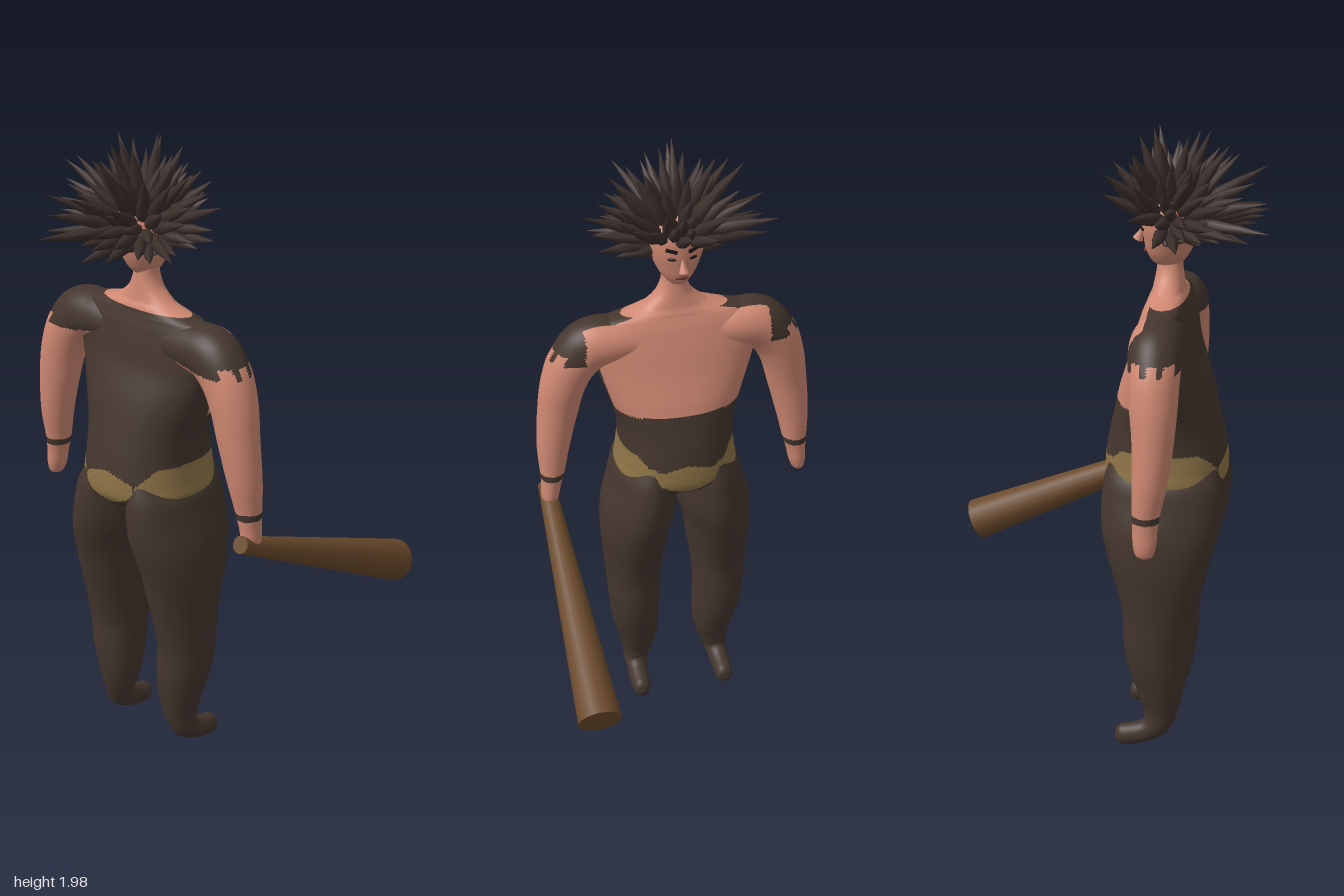
import * as THREE from 'three';
import { mergeGeometries } from 'three/addons/utils/BufferGeometryUtils.js';

const mat = (name, color) => new THREE.MeshStandardMaterial({ name, color });
const CX = -0.02; // body centre line
const X = new THREE.Vector3(1, 0, 0);
const Z = new THREE.Vector3(0, 0, 1);

// Smooth loft through sections [x, y, z, radius along u, radius across]; power > 2 squares the section
function loft(sections, u, rings, sides, power = 2) {
  const path = new THREE.CatmullRomCurve3(sections.map(s => new THREE.Vector3(s[0], s[1], s[2])));
  const size = new THREE.CatmullRomCurve3(sections.map(s => new THREE.Vector3(s[3], s[4], s[1])));
  const pos = [], index = [];
  const bend = c => Math.sign(c) * Math.pow(Math.abs(c), 2 / power);
  for (let i = 0; i <= rings; i++) {
    const p = path.getPoint(i / rings), r = size.getPoint(i / rings);
    const v = path.getTangent(i / rings).cross(u).normalize();
    for (let j = 0; j < sides; j++) {
      const t = (j / sides) * Math.PI * 2;
      const q = p.clone()
        .addScaledVector(u, bend(Math.cos(t)) * Math.max(r.x, 0.0005))
        .addScaledVector(v, bend(Math.sin(t)) * Math.max(r.y, 0.0005));
      pos.push(q.x, q.y, q.z);
      if (i < rings) {
        const k = (j + 1) % sides, a = i * sides, b = a + sides;
        index.push(a + j, a + k, b + k, a + j, b + k, b + j);
      }
    }
  }
  const g = new THREE.BufferGeometry();
  g.setAttribute('position', new THREE.Float32BufferAttribute(pos, 3));
  g.setIndex(index);
  g.computeVertexNormals();
  return g;
}

// Sort faces into material groups by a rule on the face centre
function paint(g, count, rule) {
  const idx = g.index.array, p = g.attributes.position;
  const lists = Array.from({ length: count }, () => []);
  for (let i = 0; i < idx.length; i += 3) {
    const f = [idx[i], idx[i + 1], idx[i + 2]];
    const mid = get => f.reduce((s, n) => s + get(n), 0) / 3;
    lists[rule(mid(n => p.getX(n)), mid(n => p.getY(n)), mid(n => p.getZ(n)))].push(...f);
  }
  g.setIndex(lists.flat());
  let start = 0;
  lists.forEach((l, m) => { g.addGroup(start, l.length, m); start += l.length; });
  return g;
}

export function createModel() {
  const group = new THREE.Group();
  const skin = mat('skin', 0xcf8872);
  const cloth = mat('dark cloth', 0x44362e);
  const tan = mat('belt tan', 0x8d7346);
  const hairMat = mat('hair', 0x3b2e2a);
  const wood = mat('wood', 0x6b4a2b);
  const lip = mat('lip', 0x6e3a34);
  const ink = mat('brow and lash', 0x1c1614);
  const bodyMats = [skin, cloth, tan];
  const add = (name, geometry, material) => {
    const m = new THREE.Mesh(geometry, material);
    m.name = name;
    group.add(m);
    return m;
  };

  // Torso: height, half width, front z, back z
  const torsoRows = [
    [0.85, 0.04, 0.15, 0.30], [0.87, 0.15, 0.075, 0.375], [0.91, 0.193, 0.039, 0.411],
    [0.96, 0.188, 0.037, 0.413], [1.03, 0.182, 0.046, 0.402], [1.10, 0.188, 0.06, 0.385],
    [1.20, 0.218, 0.082, 0.358], [1.30, 0.25, 0.113, 0.322], [1.38, 0.27, 0.135, 0.305],
    [1.43, 0.26, 0.15, 0.294], [1.46, 0.225, 0.162, 0.285], [1.478, 0.15, 0.168, 0.28],
    [1.495, 0.10, 0.175, 0.273], [1.53, 0.058, 0.182, 0.268], [1.565, 0.041, 0.187, 0.264],
    [1.61, 0.036, 0.19, 0.262],
  ];
  const torso = loft(torsoRows.map(([y, w, f, b]) => [CX, y, (f + b) / 2, w, (b - f) / 2]), X, 180, 120, 2.25);
  paint(torso, 3, (x, y, z) => {
    const d = Math.abs(x - CX), inner = d < 0.095;
    // belt pinched on each side of the centre, only partly so on the bare-chested side
    const pinch = inner ? Math.sqrt(1 - d / 0.095) : Math.min(1, (d - 0.095) / 0.055);
    const k = z < 0.2 ? Math.max(0.45, pinch) : pinch;
    const top = 0.955 + (inner ? 0.04 : 0.062) * k, low = 0.945 - (inner ? 0.058 : 0.042) * k;
    if (y < top && y > low) return pinch < 0.06 && z > 0.2 ? 1 : 2;
    if (y < 1.16) return 1;
    if (y > 1.474) return 0;
    return z < 0.185 ? 0 : 1;
  });
  add('torso', torso, bodyMats);

  for (const s of [1, -1]) {
    const side = s > 0 ? 'left' : 'right';

    // Arm with ragged sleeve and wristband
    const armRows = [
      [0.12, 1.39, 0.222, 0.075, 0.065], [0.20, 1.39, 0.222, 0.08, 0.076], [0.265, 1.38, 0.224, 0.08, 0.082],
      [0.318, 1.325, 0.228, 0.076, 0.078], [0.35, 1.25, 0.232, 0.071, 0.071], [0.371, 1.15, 0.235, 0.062, 0.064],
      [0.392, 1.02, 0.23, 0.052, 0.052], [0.40, 0.93, 0.222, 0.042, 0.04], [0.406, 0.88, 0.22, 0.037, 0.032],
      [0.412, 0.83, 0.22, 0.034, 0.027], [0.416, 0.80, 0.22, 0.024, 0.018], [0.417, 0.788, 0.22, 0, 0],
    ].map(([x, ...r]) => [CX + s * x, ...r]);
    const arm = paint(loft(armRows, Z, 140, 56), 2, (x, y, z) => {
      if (y > 0.905 && y < 0.927) return 1;
      const hem = 1.365 + (Math.sin(z * 130) > 0.3 ? -0.02 : 0.01);
      return y > hem && (z > 0.19 || Math.abs(x - CX) > 0.29) ? 1 : 0;
    });
    add(side + 'Arm', arm, [skin, cloth]);

    // Leg running into a foot bent forward
    const legRows = [
      [0.095, 0.96, 0.225, 0.07, 0.165], [0.102, 0.91, 0.225, 0.096, 0.18], [0.109, 0.85, 0.225, 0.107, 0.186],
      [0.123, 0.76, 0.222, 0.118, 0.182],
      [0.138, 0.67, 0.222, 0.11, 0.16], [0.142, 0.58, 0.224, 0.101, 0.136], [0.145, 0.48, 0.222, 0.09, 0.112],
      [0.145, 0.38, 0.216, 0.084, 0.1], [0.14, 0.29, 0.224, 0.079, 0.092], [0.132, 0.20, 0.232, 0.067, 0.073],
      [0.133, 0.13, 0.233, 0.05, 0.054], [0.14, 0.085, 0.222, 0.04, 0.044], [0.143, 0.06, 0.192, 0.034, 0.037],
      [0.145, 0.045, 0.15, 0.032, 0.036], [0.145, 0.037, 0.112, 0.03, 0.035], [0.145, 0.035, 0.094, 0.02, 0.022],
      [0.145, 0.035, 0.088, 0, 0],
    ].map(([x, ...r]) => [CX + s * x, ...r]);
    add(side + 'Leg', loft(legRows, X, 90, 40), cloth);

    // Eye and brow, thin plates on the face
    const eye = add(side + 'Eye', new THREE.SphereGeometry(1, 12, 8), ink);
    eye.scale.set(0.014, 0.005, 0.004);
    eye.position.set(-0.028 + s * 0.033, 1.682, 0.147);
    eye.rotation.y = -s * 0.4;
    const brow = add(side + 'Brow', new THREE.BoxGeometry(0.036, 0.009, 0.007), ink);
    brow.position.set(-0.028 + s * 0.034, 1.712, 0.144);
    brow.rotation.set(0, -s * 0.4, s * 0.2);
  }

  // Head
  const headRows = [
    [1.562, 0, 0.205, 0], [1.572, 0.026, 0.207, 0.035], [1.60, 0.05, 0.213, 0.06], [1.65, 0.074, 0.222, 0.078],
    [1.70, 0.086, 0.226, 0.086], [1.75, 0.084, 0.228, 0.086], [1.79, 0.06, 0.228, 0.064], [1.815, 0, 0.228, 0],
  ].map(([y, w, z, d]) => [-0.028, y, z, w, d]);
  add('head', loft(headRows, X, 40, 40), skin);
  const nose = add('nose', new THREE.ConeGeometry(0.016, 0.05, 10), skin);
  nose.position.set(-0.028, 1.664, 0.138);
  nose.rotation.x = 0.4;
  const mouth = add('mouth', new THREE.SphereGeometry(1, 12, 8), lip);
  mouth.scale.set(0.02, 0.006, 0.005);
  mouth.position.set(-0.028, 1.612, 0.152);

  // Spiky hair, swept up and away from the face
  let seed = 7;
  const rand = () => (seed = (seed * 16807) % 2147483647) / 2147483647;
  const centre = new THREE.Vector3(-0.028, 1.705, 0.228);
  const profile = [[0.012, 0], [0.02, 0.3], [0.014, 0.62], [0, 1]].map(p => new THREE.Vector2(...p));
  const spikes = [], N = 170;
  for (let i = 0; i < N; i++) {
    const y = 1 - (2 * (i + 0.5)) / N, r = Math.sqrt(1 - y * y), a = i * 2.39996;
    const d = new THREE.Vector3(r * Math.cos(a), y, r * Math.sin(a));
    if (d.y < -0.5 || (d.z < -0.3 && d.y < 0.25)) continue;
    const base = centre.clone().addScaledVector(d, 0.07);
    // short at the nape and over the brow, longest at the crown and back
    const reach = d.y < -0.3 ? 0.14 : (d.z < -0.3 ? 0.15 : 0.205) + rand() * 0.095;
    const tip = centre.clone().addScaledVector(d, reach);
    tip.x += (rand() - 0.5) * 0.07;
    tip.y += d.z < -0.3 ? 0.04 : d.y < 0 ? 0.02 : (rand() - 0.5) * 0.04;
    tip.z += (rand() - 0.5) * 0.07;
    const dir = tip.sub(base), len = dir.length();
    const g = new THREE.LatheGeometry(profile, 7);
    g.scale(1, len, 1);
    g.applyQuaternion(new THREE.Quaternion().setFromUnitVectors(new THREE.Vector3(0, 1, 0), dir.normalize()));
    g.translate(base.x, base.y, base.z);
    spikes.push(g);
  }
  add('hair', mergeGeometries(spikes), hairMat);

  // Club held in the left hand
  const grip = new THREE.Vector3(0.393, 0.837, 0.272), end = new THREE.Vector3(0.395, 0.492, -0.487);
  const along = end.clone().sub(grip);
  const club = add('club', new THREE.CylinderGeometry(0.068, 0.027, along.length(), 16), wood);
  club.position.copy(grip).add(end).multiplyScalar(0.5);
  club.quaternion.setFromUnitVectors(new THREE.Vector3(0, 1, 0), along.normalize());

  return group;
}
